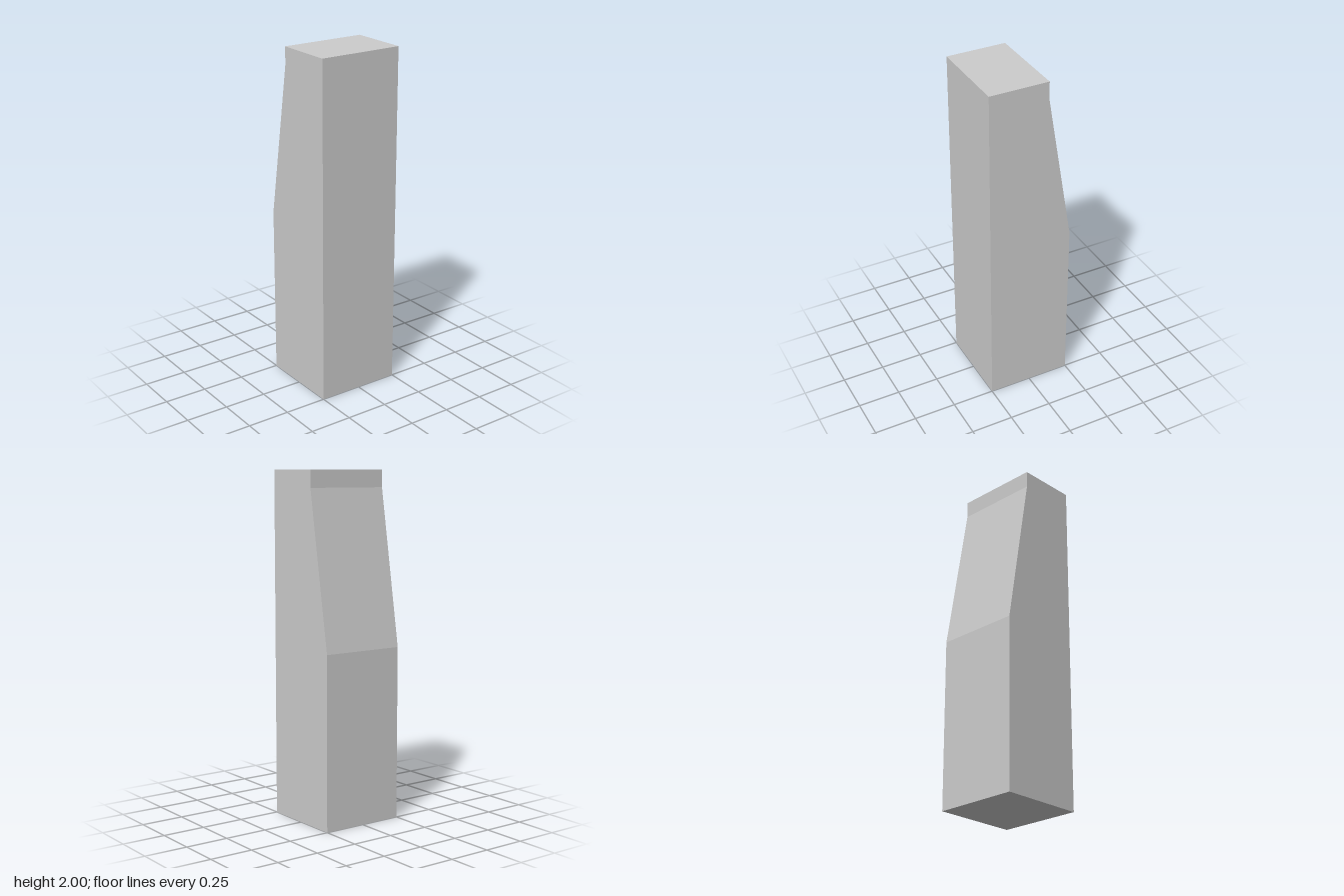
import * as THREE from 'three';

export function createModel() {
  const group = new THREE.Group();
  group.name = 'taperedPillar';

  // Side profile as (z, y): straight front, back sloping in above mid-height
  const profile = new THREE.Shape(
    [[-0.25, 0], [0.25, 0], [0.25, 2], [-0.1, 2], [-0.1, 1.9], [-0.25, 1]]
      .map(([z, y]) => new THREE.Vector2(z, y))
  );

  // Extrude across the width, then turn so the profile runs along z
  const width = 0.5;
  const geometry = new THREE.ExtrudeGeometry(profile, { depth: width, bevelEnabled: false });
  geometry.translate(0, 0, -width / 2);
  geometry.rotateY(-Math.PI / 2);

  const pillar = new THREE.Mesh(
    geometry,
    new THREE.MeshStandardMaterial({ color: 0xcccccc, flatShading: true })
  );
  pillar.name = 'pillar';
  group.add(pillar);
  return group;
}
